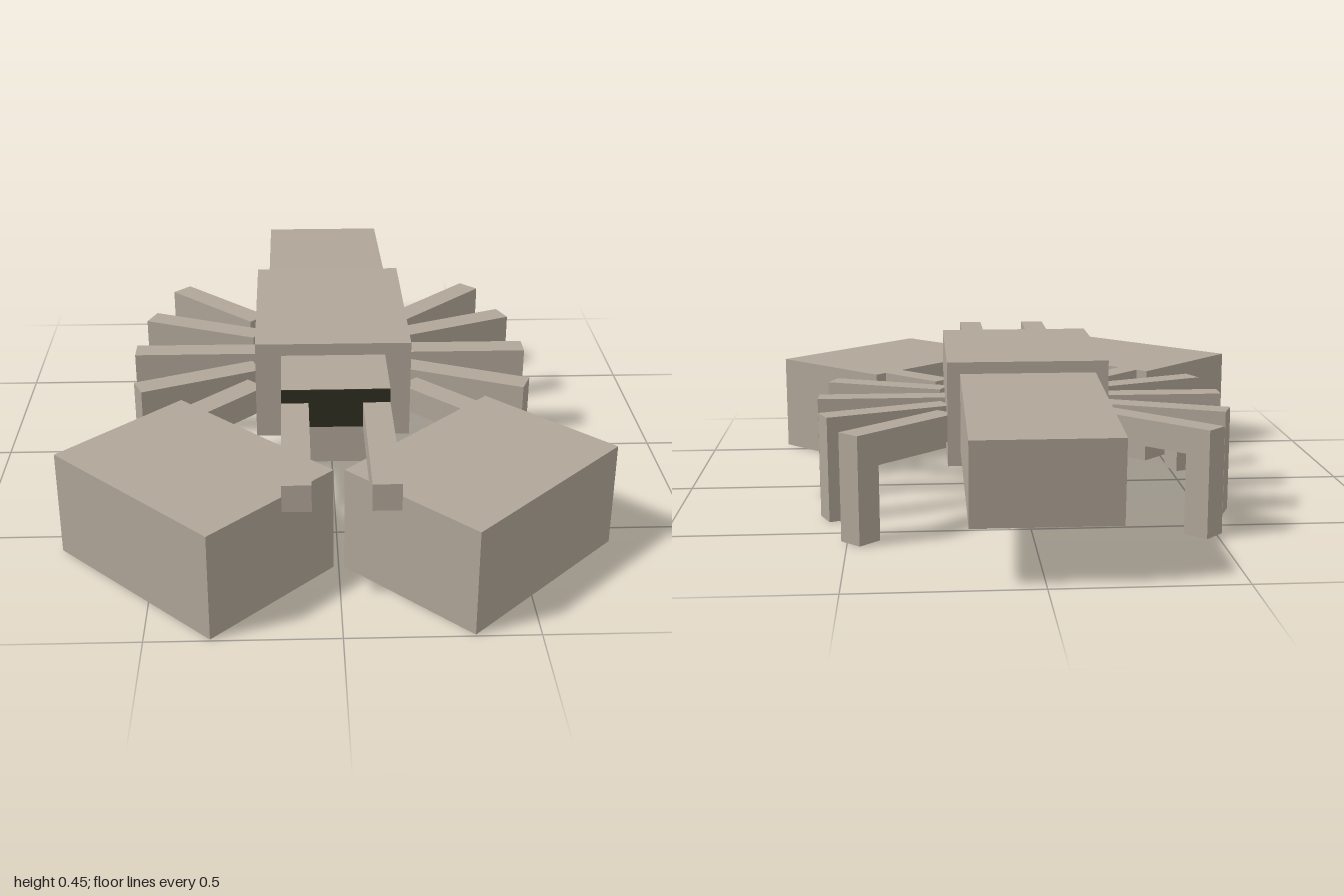
import * as THREE from 'three';

export function createModel() {
  const model = new THREE.Group();
  const shell = new THREE.MeshStandardMaterial({ name: 'shell', color: 0xb0a598 });
  const dark = new THREE.MeshStandardMaterial({ name: 'darkEyes', color: 0x2e2d20 });

  function box(name, w, h, d, x, y, z, parent = model, material = shell) {
    const mesh = new THREE.Mesh(new THREE.BoxGeometry(w, h, d), material);
    mesh.name = name;
    mesh.position.set(x, y, z);
    parent.add(mesh);
    return mesh;
  }

  // Body, head and the dark band over the upper face
  box('body', 0.45, 0.295, 0.595, 0, 0.3025, -0.0925);
  box('head', 0.3, 0.224, 0.225, 0, 0.302, 0.3175);
  box('eyeBand', 0.3, 0.113, 0.006, 0, 0.3575, 0.431, model, dark);

  // Drooping tail
  box('tail', 0.378, 0.222, 0.62, 0, 0.284, -0.683).rotation.x = -0.075;

  // Leg roots (z) and their swing, from the back forwards
  const legs = [
    [-0.337, Math.PI / 4],
    [-0.217, Math.PI / 8],
    [-0.097, 0],
    [0.023, -Math.PI / 8],
  ];

  for (const side of [1, -1]) {
    const label = side > 0 ? 'left' : 'right';
    const turn = (angle) => (side > 0 ? angle : Math.PI - angle);

    // Feeler reaching forward from the head
    box(label + 'Mandible', 0.075, 0.075, 0.455, side * 0.1125, 0.3375, 0.6575);

    // Bent legs: a level thigh and an upright shin
    legs.forEach(([z, angle], i) => {
      const leg = new THREE.Group();
      leg.name = label + 'Leg' + (i + 1);
      leg.position.set(side * 0.226, 0, z);
      leg.rotation.y = turn(angle);
      box('thigh', 0.3, 0.075, 0.072, 0.15, 0.2625, 0, leg);
      box('shin', 0.075, 0.3, 0.072, 0.3375, 0.15, 0, leg);
      model.add(leg);
    });

    // Front arm with its large block claw
    const arm = new THREE.Group();
    arm.name = label + 'ClawArm';
    arm.position.set(side * 0.225, 0, 0.147);
    arm.rotation.y = turn(-Math.PI / 4);
    box('arm', 0.26, 0.075, 0.072, 0.13, 0.2625, 0, arm);
    model.add(arm);
    box(label + 'Claw', 0.45, 0.3, 0.6, side * 0.386, 0.15, 0.623).rotation.y = turn(-Math.PI / 4);
  }
  return model;
}
